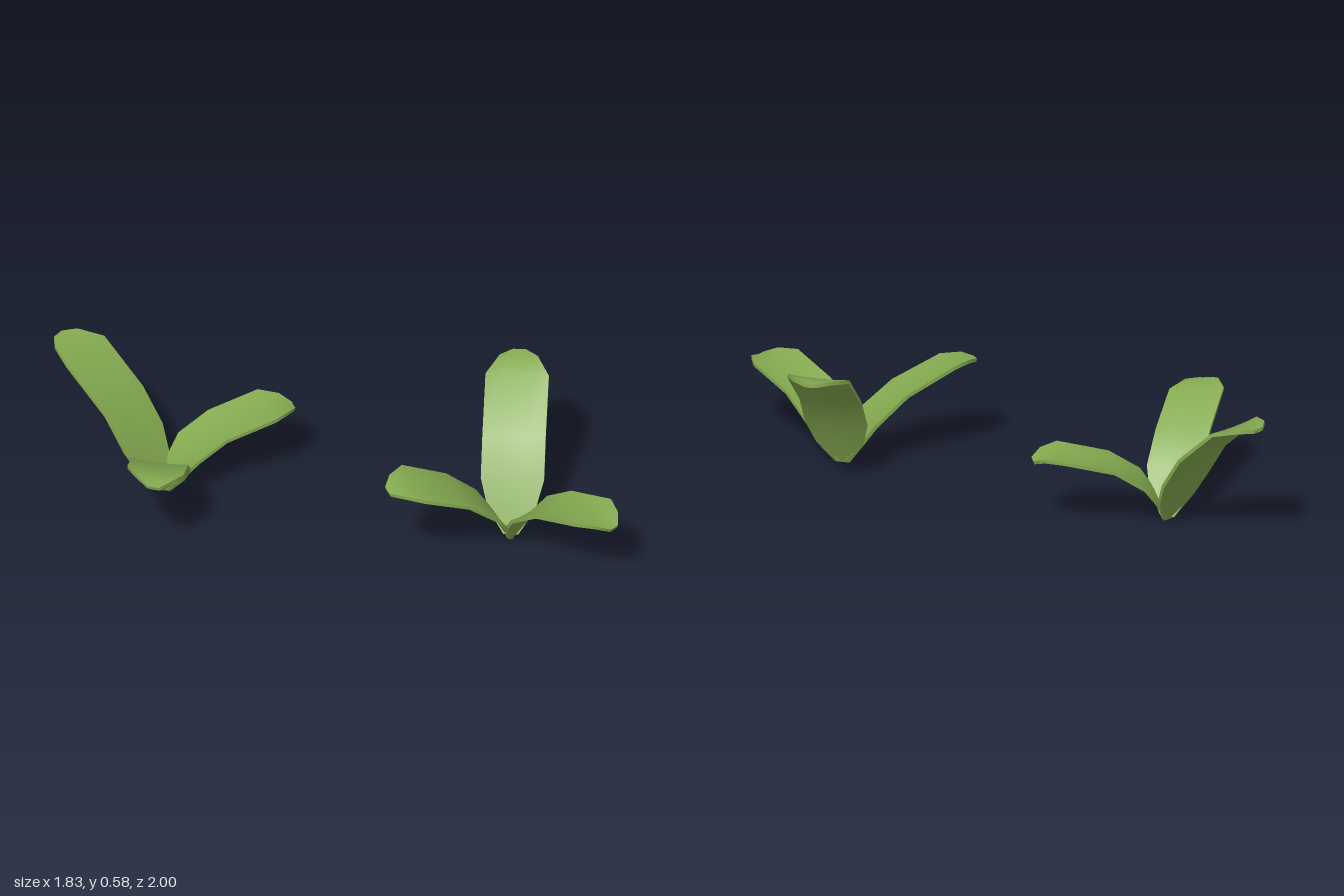
import * as THREE from 'three';
import { toCreasedNormals } from 'three/addons/utils/BufferGeometryUtils.js';

const COLS = 5;        // points across a leaf
const THICK = 0.016;

// Half width along a leaf: [distance from base, share of full half width]
const OUTLINE = [0.24, 0.76, 1, 1, 1, 0.6, 0.2];

// profile: [distance from base, height] along the midrib
const LEAVES = [
  { name: 'tallLeaf', angle: 119, half: 0.135, cup: 0.006, tilt: 0,
    profile: [[0, 0.01], [0.05, 0.11], [0.11, 0.22], [0.21, 0.37], [0.41, 0.55], [0.51, 0.58], [0.555, 0.583]] },
  { name: 'middleLeaf', angle: 239, half: 0.12, cup: 0.006, tilt: 0.15,
    profile: [[0, 0.01], [0.05, 0.1], [0.11, 0.19], [0.25, 0.31], [0.46, 0.412], [0.54, 0.425], [0.583, 0.415]] },
  { name: 'lowLeaf', angle: 352.5, half: 0.12, cup: 0.014, tilt: 0,
    profile: [[0, 0.01], [0.05, 0.1], [0.11, 0.18], [0.24, 0.265], [0.46, 0.322], [0.535, 0.322], [0.578, 0.305]] },
];

// Solid leaf pointing along +x, lofted from closed cross-sections
function leafGeometry({ profile, half, cup, tilt }) {
  const pos = [], idx = [], ring = COLS * 2, last = profile.length - 1;
  profile.forEach(([x, y], i) => {
    const p = profile[Math.max(i - 1, 0)], n = profile[Math.min(i + 1, last)];
    const len = Math.hypot(n[0] - p[0], n[1] - p[1]);
    const nx = -(n[1] - p[1]) / len, ny = (n[0] - p[0]) / len;
    const grow = Math.min(1, x / 0.4);
    for (let k = 0; k < ring; k++) {
      const top = k < COLS;
      const s = ((top ? k : ring - 1 - k) / (COLS - 1)) * 2 - 1;
      const z = s * half * OUTLINE[i];
      const lift = cup * s * s * OUTLINE[i] - (top ? 0 : THICK);
      pos.push(x + nx * lift, Math.max(0, y + ny * lift + tilt * z * grow), z);
    }
  });
  const quad = (a, b, c, d) => idx.push(a, b, c, a, c, d);
  for (let i = 0; i < last; i++) {
    for (let k = 0; k < ring; k++) {
      const k2 = (k + 1) % ring, a = i * ring, b = a + ring;
      quad(a + k, a + k2, b + k2, b + k);
    }
  }
  // End caps
  const e = last * ring;
  for (let j = 0; j < COLS - 1; j++) {
    const u = ring - 1 - j;
    quad(u, u - 1, j + 1, j);
    quad(e + j, e + j + 1, e + u - 1, e + u);
  }
  const g = new THREE.BufferGeometry();
  g.setAttribute('position', new THREE.Float32BufferAttribute(pos, 3));
  g.setIndex(idx);
  return toCreasedNormals(g, 0.9);
}

export function createModel() {
  const model = new THREE.Group();
  model.name = 'leafyPlants';
  const leafGreen = new THREE.MeshStandardMaterial({ color: 0x84aa50 });
  leafGreen.name = 'leafGreen';

  const shapes = LEAVES.map(leafGeometry);

  // Two identical three-leaved sprouts, the second one turned
  [
    { name: 'backSprout', x: -0.582, z: -0.5, turn: 0 },
    { name: 'frontSprout', x: 0.584, z: 0.463, turn: -59 },
  ].forEach(({ name, x, z, turn }) => {
    const sprout = new THREE.Group();
    sprout.name = name;
    sprout.position.set(x, 0, z);
    sprout.rotation.y = THREE.MathUtils.degToRad(turn);
    LEAVES.forEach((leaf, i) => {
      const mesh = new THREE.Mesh(shapes[i], leafGreen);
      mesh.name = leaf.name;
      mesh.rotation.y = THREE.MathUtils.degToRad(leaf.angle);
      sprout.add(mesh);
    });
    model.add(sprout);
  });
  return model;
}
